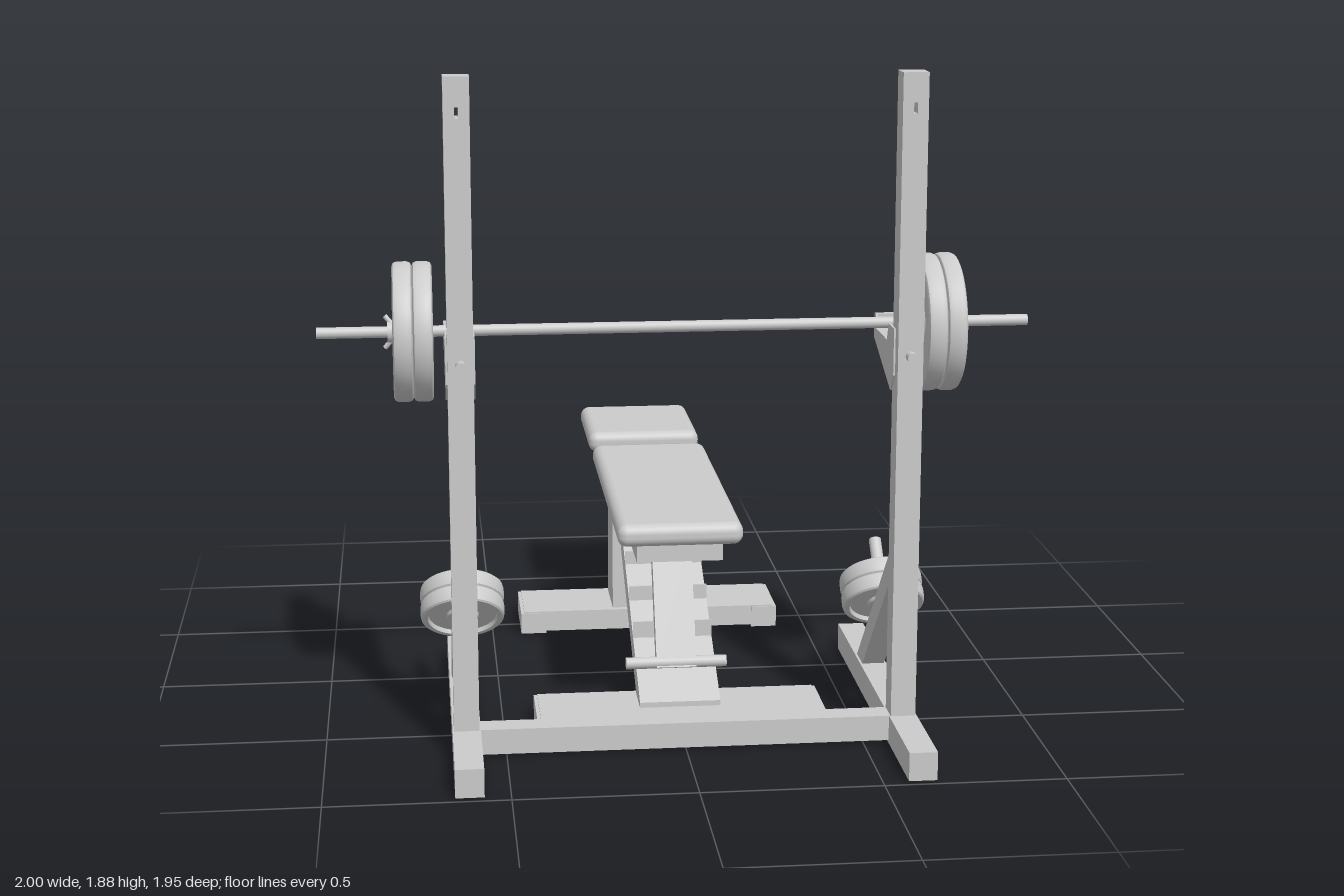
import * as THREE from 'three';
import { toCreasedNormals } from 'three/addons/utils/BufferGeometryUtils.js';
import { RoundedBoxGeometry } from 'three/addons/geometries/RoundedBoxGeometry.js';

const grey = new THREE.MeshStandardMaterial({ color: 0xcccccc });

export function createModel() {
  const model = new THREE.Group();

  const add = (name, geometry, parent = model) => {
    const mesh = new THREE.Mesh(geometry, grey);
    mesh.name = name;
    parent.add(mesh);
    return mesh;
  };
  // Box given by its limits on each axis
  const box = (name, [x0, x1], [y0, y1], [z0, z1], parent) => {
    const g = new THREE.BoxGeometry(x1 - x0, y1 - y0, z1 - z0);
    g.translate((x0 + x1) / 2, (y0 + y1) / 2, (z0 + z1) / 2);
    return add(name, g, parent);
  };
  // Side profile of [z, y] points, extruded along x about centre cx
  const sideProfile = (name, points, width, cx, parent) => {
    const shape = new THREE.Shape(points.map(([z, y]) => new THREE.Vector2(z, y)));
    const g = new THREE.ExtrudeGeometry(shape, { depth: width, bevelEnabled: false });
    g.translate(0, 0, -width / 2);
    g.rotateY(-Math.PI / 2);
    g.translate(cx, 0, 0);
    return add(name, g, parent);
  };
  // Round rod between two points
  const rod = (name, a, b, radius, parent) => {
    const from = new THREE.Vector3(...a), to = new THREE.Vector3(...b);
    const mesh = add(name, new THREE.CylinderGeometry(radius, radius, from.distanceTo(to), 20), parent);
    mesh.position.copy(from).add(to).multiplyScalar(0.5);
    mesh.quaternion.setFromUnitVectors(new THREE.Vector3(0, 1, 0), to.sub(from).normalize());
    return mesh;
  };
  // Weight plate turned about y, with raised rim and hub
  const plateGeometry = (R, thickness) => {
    const h = thickness / 2;
    const lower = [[0, -h], [0.2, -h], [0.36, -h + 0.003], [0.39, -h + 0.012], [0.8, -h + 0.012],
      [0.83, -h], [0.94, -h], [0.98, -h + 0.004], [1, -h + 0.014]];
    const upper = lower.map(([r, y]) => [r, -y]).reverse();
    const points = [...lower, ...upper].map(([r, y]) => new THREE.Vector2(r * R, y));
    return toCreasedNormals(new THREE.LatheGeometry(points, 48), 0.6);
  };
  const largePlate = plateGeometry(0.195, 0.055);
  const smallPlate = plateGeometry(0.12, 0.05);

  // Rack sides
  for (const s of [1, -1]) {
    const side = new THREE.Group();
    side.name = s > 0 ? 'leftRackSide' : 'rightRackSide';
    model.add(side);
    const x = s * 0.61;

    box('baseRail', [x - 0.039, x + 0.039], [0, 0.08], [-0.155, 0.975], side);

    // Upright with a slot near the top
    const post = new THREE.Shape([[-0.035, 0.08], [0.035, 0.08], [0.035, 1.88], [-0.035, 1.88]]
      .map(p => new THREE.Vector2(...p)));
    post.holes.push(new THREE.Path([[-0.005, 1.77], [-0.005, 1.8], [0.005, 1.8], [0.005, 1.77]]
      .map(p => new THREE.Vector2(...p))));
    const upright = new THREE.ExtrudeGeometry(post, { depth: 0.075, bevelEnabled: false });
    upright.translate(x, 0, 0.612);
    add('upright', upright, side);

    sideProfile('brace', [[0.615, 0.54], [0.615, 0.45], [0.22, 0.07], [0.13, 0.07]], 0.065, x, side);

    // Bar holder: cradle arm between two cheeks
    for (const e of [-1, 1])
      sideProfile('holderCheek', [[0.65, 1.05], [0.61, 1.0], [0.36, 1.1], [0.36, 1.17], [0.38, 1.17],
        [0.39, 1.13], [0.55, 1.13], [0.57, 1.18], [0.65, 1.18]], 0.006, x + e * 0.037, side);
    box('holderArm', [x - 0.036, x + 0.036], [1.1, 1.13], [0.36, 0.61], side);
    box('holderLip', [x - 0.036, x + 0.036], [1.1, 1.17], [0.36, 0.38], side);
    rod('lockPin', [x, 1.11, 0.6], [x, 1.11, 0.72], 0.014, side);

    // Stored plates on a peg square to the brace
    const peg = new THREE.Vector3(0, Math.SQRT1_2, -Math.SQRT1_2);
    rod('storagePeg', [x, 0.28, 0.4], [x, 0.46, 0.22], 0.018, side);
    for (const d of [0.025, 0.075]) {
      const plate = add('storedPlate', smallPlate, side);
      plate.position.set(x, 0.305, 0.375).addScaledVector(peg, d);
      plate.quaternion.setFromUnitVectors(new THREE.Vector3(0, 1, 0), peg);
    }

    // Barbell plates and winged collar
    for (const px of [0.7075, 0.7625]) {
      const plate = add('barPlate', largePlate, side);
      plate.position.set(s * px, 1.15, 0.405);
      plate.rotation.z = Math.PI / 2;
    }
    rod('collar', [s * 0.785, 1.15, 0.405], [s * 0.805, 1.15, 0.405], 0.03, side);
    for (const e of [-1, 1])
      rod('collarWing', [s * 0.79, 1.15 + e * 0.02, 0.405], [s * 0.812, 1.15 + e * 0.045, 0.4], 0.007, side);
  }
  box('rackCrossBar', [-0.575, 0.575], [0.008, 0.08], [0.61, 0.682]);
  rod('barbell', [-1, 1.15, 0.405], [1, 1.15, 0.405], 0.016);

  // Bench feet, front and rear
  for (const [name, z0, z1] of [['frontBase', 0.37, 0.61], ['rearBase', -0.64, -0.4]]) {
    box(name, [-0.4, 0.4], [0.006, 0.07], [z0 + 0.004, z1 - 0.004]);
    for (const s of [-1, 1])
      box(name + 'Foot', [s * 0.37 - 0.04, s * 0.37 + 0.04], [0, 0.066], [z0, z1]);
  }

  // Bench post, seat frames and pads
  box('post', [-0.115, 0.115], [0.07, 0.545], [-0.61, -0.425]);
  box('backFrame', [-0.122, 0.122], [0.495, 0.548], [-0.495, 0.505]);
  box('seatFrame', [-0.12, 0.12], [0.488, 0.548], [-0.94, -0.6]);
  for (const [name, z0, z1] of [['backPad', -0.43, 0.54], ['seatPad', -0.975, -0.567]]) {
    const pad = add(name, new RoundedBoxGeometry(0.355, 0.065, z1 - z0, 5, 0.028));
    pad.position.set(0, 0.578, (z0 + z1) / 2);
  }
  rod('pivotPin', [-0.142, 0.515, -0.465], [0.142, 0.515, -0.465], 0.011);
  rod('propPin', [-0.142, 0.515, 0.235], [0.142, 0.515, 0.235], 0.011);

  // Sloping ramp with catch teeth and the back prop
  sideProfile('ramp', [[0.52, 0.065], [0.52, 0.085], [-0.21, 0.495], [-0.34, 0.495], [0.41, 0.065]], 0.23, 0);
  for (const [z, y] of [[0.3, 0.2], [0.17, 0.268], [0.04, 0.338], [-0.08, 0.405]])
    box('catchTooth', [-0.115, 0.115], [y, y + 0.055], [z - 0.003, z + 0.003]);
  sideProfile('backProp', [[0.265, 0.5], [0.22, 0.5], [0.39, 0.145], [0.425, 0.155]], 0.115, 0);
  rod('catchPin', [-0.145, 0.165, 0.407], [0.145, 0.165, 0.407], 0.017);

  return model;
}
